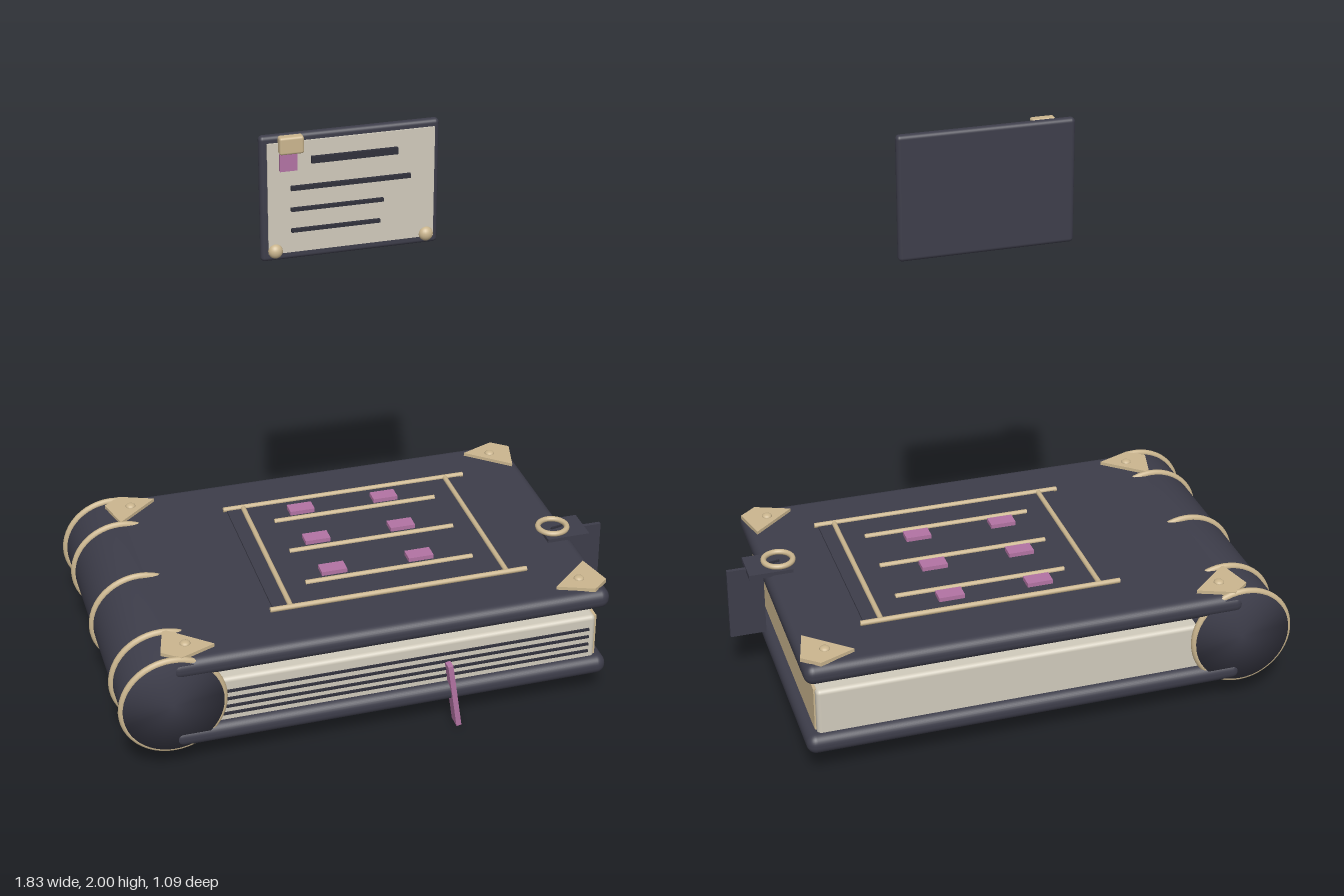
import * as THREE from 'three';
import { mergeVertices } from 'three/addons/utils/BufferGeometryUtils.js';
import { RoundedBoxGeometry } from 'three/addons/geometries/RoundedBoxGeometry.js';

const mat = (name, color) => {
  const m = new THREE.MeshStandardMaterial({ color });
  m.name = name;
  return m;
};

export function createModel() {
  const leather = mat('dark leather', 0x3d3d4a);
  const ink = mat('dark ink', 0x30303b);
  const paper = mat('cream paper', 0xd0cabb);
  const brass = mat('pale brass', 0xcab58e);
  const mauve = mat('mauve', 0xb273a3);

  const model = new THREE.Group();
  model.name = 'book';

  const add = (name, geometry, material, x = 0, y = 0, z = 0, parent = model) => {
    const mesh = new THREE.Mesh(geometry, material);
    mesh.name = name;
    mesh.position.set(x, y, z);
    parent.add(mesh);
    return mesh;
  };
  // Box given by its extents along each axis; a radius rounds its edges
  const block = (name, material, [x0, x1], [y0, y1], [z0, z1], radius = 0, parent = model) => {
    const size = [x1 - x0, y1 - y0, z1 - z0];
    const geo = radius ? new RoundedBoxGeometry(...size, 4, radius) : new THREE.BoxGeometry(...size);
    return add(name, geo, material, (x0 + x1) / 2, (y0 + y1) / 2, (z0 + z1) / 2, parent);
  };
  const group = (name) => {
    const g = new THREE.Group();
    g.name = name;
    model.add(g);
    return g;
  };

  // Covers
  block('topCover', leather, [-0.74, 0.787], [0.368, 0.44], [-0.545, 0.535], 0.033);
  block('bottomCover', leather, [-0.74, 0.787], [0.098, 0.168], [-0.545, 0.535], 0.033);

  // Round spine, with ends shaded softly into its side
  let spine = new THREE.CylinderGeometry(0.169, 0.169, 1.07, 48);
  spine.deleteAttribute('uv');
  spine.deleteAttribute('normal');
  spine = mergeVertices(spine);
  spine.computeVertexNormals();
  spine.rotateX(Math.PI / 2);
  add('spine', spine, leather, -0.735, 0.272, -0.005);

  // Spine bands
  for (const z of [-0.525, -0.355, -0.005, 0.348, 0.515]) {
    add('spineBand', new THREE.TorusGeometry(0.171, 0.012, 10, 48), brass, -0.735, 0.272, z);
  }

  // Page block, fore edge and page lines
  block('pages', paper, [-0.7, 0.747], [0.15, 0.329], [-0.515, 0.505], 0.015);
  block('foreEdge', brass, [0.742, 0.752], [0.16, 0.325], [-0.49, 0.495]);
  for (const y of [0.193, 0.221, 0.251, 0.281]) {
    block('pageLine', ink, [-0.58, 0.722], [y - 0.004, y + 0.004], [0.5, 0.512]);
  }

  // Slanted ribbon bookmark
  const ribbon = add('ribbon', new THREE.BoxGeometry(0.018, 0.252, 0.05), mauve, 0.228, 0.126, 0.52);
  ribbon.rotation.z = 0.14;

  // Cover panel with its rails and studs
  const panel = group('coverPanel');
  block('panelPlate', leather, [-0.345, 0.54], [0.43, 0.447], [-0.335, 0.325], 0, panel);
  const rail = (length, x, z, alongX) => {
    const geo = new THREE.CylinderGeometry(0.009, 0.009, length, 12);
    if (alongX) geo.rotateZ(Math.PI / 2);
    else geo.rotateX(Math.PI / 2);
    add('panelRail', geo, brass, x, 0.449, z, panel);
  };
  for (const z of [-0.341, 0.33]) rail(0.91, 0.098, z, true);
  for (const x of [-0.285, 0.482]) rail(0.66, x, -0.005, false);
  for (const z of [-0.213, -0.006, 0.202]) rail(0.6, 0.1, z, true);
  for (const z of [-0.264, -0.058, 0.15]) {
    for (const x of [-0.089, 0.223]) {
      block('panelStud', mauve, [x - 0.045, x + 0.045], [0.44, 0.462], [z - 0.026, z + 0.026], 0, panel);
    }
  }

  // Corner plates, mirrored around the top cover
  const kite = [[-0.092, 0.028], [0.055, -0.1], [0.088, 0.03], [0.03, 0.077]];
  for (const sx of [-1, 1]) {
    for (const sz of [-1, 1]) {
      const corner = group('cornerPlate');
      corner.position.set(0.014 + sx * 0.687, 0.438, -0.007 + sz * 0.45);
      const shape = new THREE.Shape(kite.map(([x, z]) => new THREE.Vector2(sx * x, -sz * z)));
      const plate = new THREE.ExtrudeGeometry(shape, { depth: 0.014, bevelEnabled: false });
      plate.rotateX(-Math.PI / 2);
      add('plate', plate, brass, 0, 0, 0, corner);
      const rivet = add('rivet', new THREE.SphereGeometry(0.018, 16, 10), brass, 0, 0.014, 0, corner);
      rivet.scale.y = 0.55;
    }
  }

  // Clasp: top plate, hanging strap, ring and pin
  const clasp = group('clasp');
  block('claspPlate', leather, [0.69, 0.845], [0.435, 0.453], [0.054, 0.184], 0, clasp);
  block('claspStrap', leather, [0.785, 0.912], [0.182, 0.447], [0.112, 0.126], 0, clasp);
  const ring = add('claspRing', new THREE.TorusGeometry(0.051, 0.01, 10, 32), brass, 0.73, 0.463, 0.118, clasp);
  ring.rotation.x = Math.PI / 2;
  const pin = block('claspPin', ink, [0.725, 0.77], [0.45, 0.46], [0.113, 0.119], 0, clasp);
  pin.rotation.y = 0.2;

  // Floating note card
  const card = group('noteCard');
  block('cardBack', leather, [-0.285, 0.31], [1.572, 2], [-0.014, 0.018], 0.014, card);
  block('cardPaper', paper, [-0.262, 0.292], [1.6, 1.977], [0.008, 0.024], 0, card);
  for (const [x0, x1, y, h] of [
    [-0.12, 0.166, 1.913, 0.022], [-0.188, 0.21, 1.823, 0.014],
    [-0.188, 0.119, 1.75, 0.011], [-0.188, 0.108, 1.678, 0.011],
  ]) {
    block('cardLine', ink, [x0, x1], [y - h / 2, y + h / 2], [0.022, 0.036], 0, card);
  }
  block('cardClip', brass, [-0.226, -0.146], [1.942, 2], [0.012, 0.045], 0.008, card);
  block('cardTab', mauve, [-0.224, -0.167], [1.885, 1.942], [0.02, 0.037], 0, card);
  for (const x of [-0.24, 0.267]) {
    const stud = add('cardStud', new THREE.SphereGeometry(0.024, 20, 14), brass, x, 1.61, 0.024, card);
    stud.scale.z = 0.85;
  }

  return model;
}
